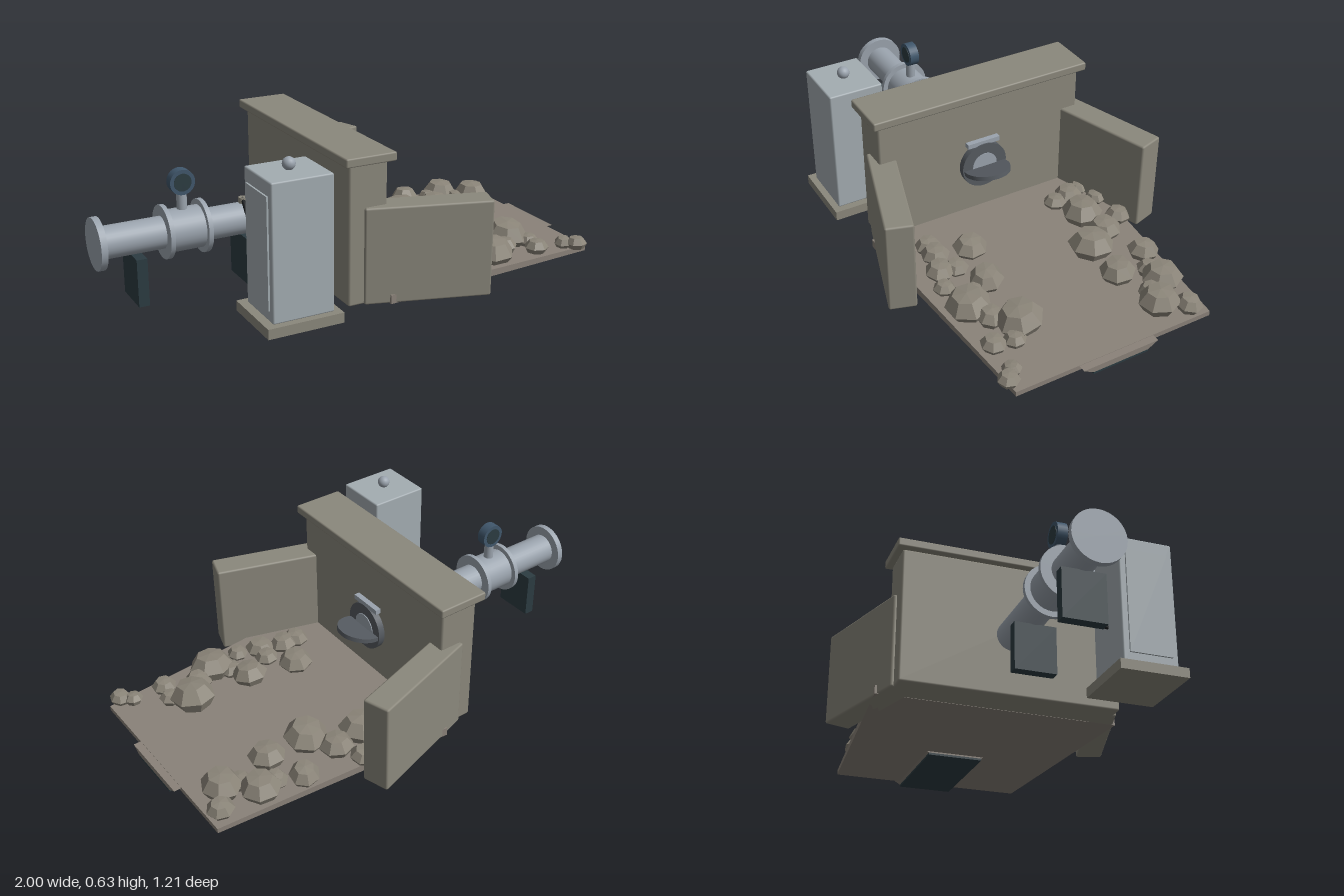
import * as THREE from 'three';
import { RoundedBoxGeometry } from 'three/addons/geometries/RoundedBoxGeometry.js';

const mat = (name, color, extra = {}) => {
  const m = new THREE.MeshStandardMaterial({ color, ...extra });
  m.name = name;
  return m;
};

export function createModel() {
  const concrete = mat('concrete', 0x8b887c);
  const slab = mat('apron concrete', 0x8a8279);
  const stone = mat('stone', 0x8b8579, { flatShading: true });
  const steel = mat('pipe steel', 0x9ba4ae);
  const cabinetGrey = mat('cabinet grey', 0xa4adb2);
  const iron = mat('cast iron', 0x565b61);
  const darkSteel = mat('dark steel', 0x2c3c42);
  const gaugeBlue = mat('gauge blue', 0x40576c);
  const rubber = mat('black rubber', 0x16191c);

  const model = new THREE.Group();
  model.name = 'drainageOutfall';
  const add = (name, geometry, material, x = 0, y = 0, z = 0) => {
    const mesh = new THREE.Mesh(geometry, material);
    mesh.name = name;
    mesh.position.set(x, y, z);
    model.add(mesh);
    return mesh;
  };
  // box given by its minimum and maximum corners, optionally bevelled
  const box = (name, material, [x0, y0, z0], [x1, y1, z1], bevel = 0) => {
    const s = [x1 - x0, y1 - y0, z1 - z0];
    const g = bevel ? new RoundedBoxGeometry(...s, 1, bevel) : new THREE.BoxGeometry(...s);
    return add(name, g, material, (x0 + x1) / 2, (y0 + y1) / 2, (z0 + z1) / 2);
  };
  // round part lying along x at pipe height
  const axisY = 0.265;
  const round = (name, material, r, x0, x1) => {
    const g = new THREE.CylinderGeometry(r, r, x1 - x0, 32).rotateZ(Math.PI / 2);
    return add(name, g, material, (x0 + x1) / 2, axisY, 0);
  };

  // headwall and coping
  box('headwall', concrete, [-0.175, 0.015, -0.45], [-0.015, 0.57, 0.45], 0.008);
  box('coping', concrete, [-0.2, 0.57, -0.475], [0.01, 0.605, 0.475], 0.006);

  // splayed wing walls
  for (const side of [-1, 1]) {
    const g = new RoundedBoxGeometry(0.495, 0.385, 0.11, 1, 0.008);
    const wing = add('wingWall', g, concrete, 0.138, 0.2075, side * 0.483);
    wing.rotation.y = -side * 0.303;
  }

  // tapering apron that slopes down towards its outer end
  const plan = new THREE.Shape([[-0.02, -0.5], [0.97, -0.42], [0.97, 0.42], [-0.02, 0.5]]
    .map(([x, z]) => new THREE.Vector2(x, z)));
  const apron = new THREE.ExtrudeGeometry(plan, { depth: 0.035, bevelEnabled: false });
  apron.rotateX(-Math.PI / 2).translate(0, 0.015, 0);
  const p = apron.attributes.position;
  for (let i = 0; i < p.count; i++) {
    if (p.getY(i) > 0.03) p.setY(i, 0.05 - 0.015 * p.getX(i));
  }
  apron.computeVertexNormals();
  add('apron', apron, slab);

  // trapezoidal spillway lip with a dark plate below
  const section = new THREE.Shape([[-0.118, 0.009], [0.118, 0.009], [0.16, 0.034], [-0.16, 0.034]]
    .map(([z, y]) => new THREE.Vector2(z, y)));
  const lip = new THREE.ExtrudeGeometry(section, { depth: 0.47, bevelEnabled: false });
  add('spillwayLip', lip.rotateY(Math.PI / 2), slab, 0.53);
  box('spillwayPlate', darkSteel, [0.53, 0, -0.118], [1, 0.009, 0.118]);

  // flattened loose stones: x, z, radius
  const stones = [
    [0.265, -0.315, 0.09], [0.12, -0.34, 0.06], [0.136, -0.267, 0.05], [0.095, -0.41, 0.04],
    [0.19, -0.43, 0.045], [0.34, -0.44, 0.055], [0.393, -0.337, 0.07], [0.46, -0.23, 0.09],
    [0.58, -0.395, 0.065], [0.64, -0.23, 0.075], [0.68, -0.35, 0.05], [0.75, -0.36, 0.08],
    [0.86, -0.267, 0.085], [0.92, -0.36, 0.055], [0.79, -0.28, 0.05],
    [0.23, 0.19, 0.07], [0.136, 0.33, 0.055], [0.2, 0.33, 0.06], [0.307, 0.294, 0.05],
    [0.297, 0.36, 0.06], [0.43, 0.23, 0.075], [0.39, 0.39, 0.045], [0.47, 0.31, 0.05],
    [0.53, 0.365, 0.09], [0.62, 0.32, 0.06], [0.69, 0.24, 0.095], [0.76, 0.3, 0.045],
    [0.745, 0.38, 0.05], [0.88, 0.385, 0.04], [0.92, 0.42, 0.045],
  ];
  const profile = [[0, -0.6], [0.7, -0.55], [1, -0.05], [0.62, 0.5], [0, 0.57]]
    .map(([r, y]) => new THREE.Vector2(r, y));
  const stoneShape = new THREE.LatheGeometry(profile, 7);
  stones.forEach(([x, z, r], i) => {
    const s = add('stone', stoneShape, stone, x, 0.04 + 0.45 * r, z);
    s.scale.set(r, r, r * (0.92 + 0.04 * (i % 4)));
    s.rotation.set(0.08 * Math.sin(i * 2.3), i * 1.7, 0.08 * Math.cos(i * 1.9));
  });

  // pipe, end flange and flow meter
  round('pipe', steel, 0.063, -0.99, -0.01);
  round('endFlange', steel, 0.102, -1, -0.975);
  round('meterBody', steel, 0.083, -0.725, -0.575);
  round('meterFlange', steel, 0.105, -0.735, -0.717);
  round('meterFlange', steel, 0.105, -0.583, -0.565);
  add('gaugeStem', new THREE.CylinderGeometry(0.02, 0.02, 0.09, 20), steel, -0.65, 0.375, 0);
  const dial = (name, r, depth, material) =>
    add(name, new THREE.CylinderGeometry(r, r, depth, 28).rotateX(Math.PI / 2), material, -0.65, 0.455, 0);
  dial('gaugeCase', 0.05, 0.04, gaugeBlue);
  dial('gaugeFace', 0.035, 0.044, darkSteel);

  // pipe supports
  for (const x of [-0.845, -0.4]) {
    box('pipeSupport', darkSteel, [x - 0.021, 0.015, -0.083], [x + 0.021, 0.205, 0.083]);
  }

  // outlet ring, pipe mouth, hinge and open flap
  round('outletRing', iron, 0.1, -0.02, 0.012);
  round('pipeMouth', steel, 0.055, -0.02, 0.015);
  box('flapHinge', steel, [-0.015, 0.358, -0.072], [0.008, 0.378, 0.072]);
  const flap = add('flap', new THREE.CylinderGeometry(0.095, 0.095, 0.018, 32), iron, 0.033, 0.256, 0);
  flap.rotation.z = 0.2;

  // control cabinet on its plinth
  box('cabinetPlinth', concrete, [-0.555, 0.015, 0.275], [-0.25, 0.055, 0.555]);
  box('cabinet', cabinetGrey, [-0.523, 0.055, 0.304], [-0.278, 0.585, 0.53], 0.006);
  box('cabinetDoor', cabinetGrey, [-0.53, 0.1, 0.33], [-0.522, 0.53, 0.505]);
  add('beacon', new THREE.SphereGeometry(0.025, 20, 14), steel, -0.4, 0.607, 0.417);

  // sensor and its cable to the cabinet
  add('sensor', new THREE.CylinderGeometry(0.017, 0.017, 0.03, 16), concrete, -0.4, 0.335, 0);
  const path = new THREE.CatmullRomCurve3([[-0.4, 0.345, 0], [-0.415, 0.3, 0.08], [-0.43, 0.25, 0.18], [-0.4, 0.25, 0.31]]
    .map((c) => new THREE.Vector3(...c)));
  add('cable', new THREE.TubeGeometry(path, 24, 0.008, 8), rubber);

  return model;
}
